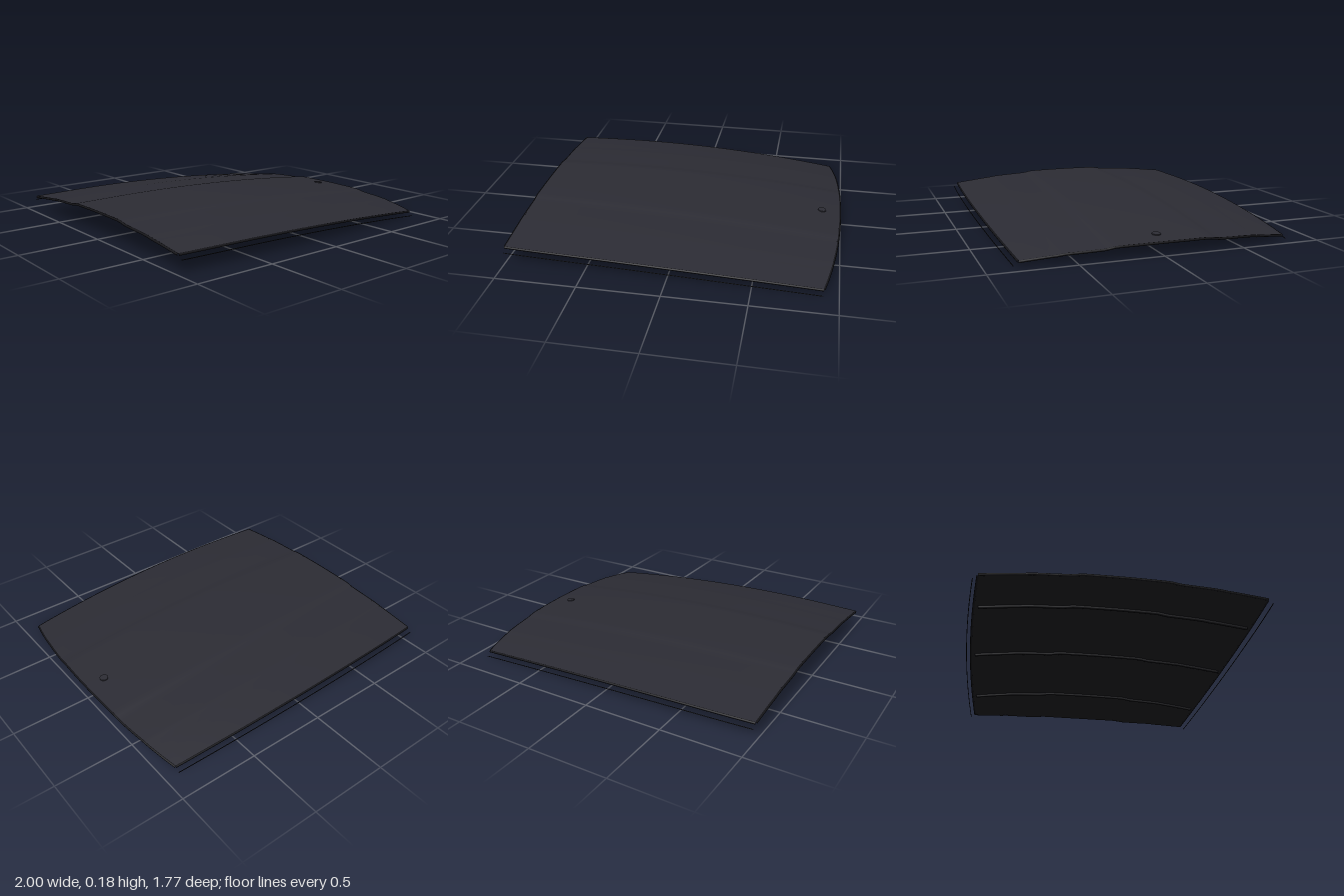
import * as THREE from 'three';

// half cross-section: [fraction of half width, drop below the crown]
const PROFILE = [[0, 0], [0.16, 0.001], [0.31, 0.003], [0.345, 0.005], [0.37, 0.009], [0.395, 0.013],
  [0.43, 0.015], [0.55, 0.02], [0.67, 0.026], [0.7, 0.029], [0.73, 0.033], [0.77, 0.036], [0.88, 0.047], [1, 0.06]];
const STATIONS = [...PROFILE.slice(1).reverse().map(([v, d]) => [-v, d]), ...PROFILE];
const THICK = 0.012;
const N = 32;

const halfWidth = x => 0.856 - 0.04 * (x + 0.15) ** 2;
const crown = x => 0.178 - 0.032 * Math.max(0, x + 0.7) ** 2;
const frontEnd = v => 0.992 - 0.08 * Math.abs(v) ** 2.2;

// point on the curved top: t runs along the length, v across the width
function surface(t, v, drop, lower = 0) {
  const x = THREE.MathUtils.lerp(-0.993, frontEnd(v), t);
  const z = v * halfWidth(x) * (1 + 0.08 * x * (1 - v * v));
  return new THREE.Vector3(x, crown(x) - drop - lower, z);
}

function sheet(lower, faceUp) {
  const pos = [], index = [], cols = STATIONS.length;
  for (let i = 0; i <= N; i++) {
    for (const [v, d] of STATIONS) pos.push(...surface(i / N, v, d, lower).toArray());
  }
  for (let i = 0; i < N; i++) {
    for (let j = 0; j < cols - 1; j++) {
      const a = i * cols + j, b = a + 1, c = a + cols, d = c + 1;
      if (faceUp) index.push(a, b, c, b, d, c);
      else index.push(a, c, b, b, c, d);
    }
  }
  const geo = new THREE.BufferGeometry();
  geo.setAttribute('position', new THREE.Float32BufferAttribute(pos, 3));
  geo.setIndex(index);
  geo.computeVertexNormals();
  return geo;
}

export function createModel() {
  const group = new THREE.Group();
  const panel = new THREE.MeshStandardMaterial({ color: 0x2c2c34 });
  const under = new THREE.MeshStandardMaterial({ color: 0x1e1e22 });
  const black = new THREE.MeshStandardMaterial({ color: 0x141418 });

  const add = (name, geo, mat) => {
    const mesh = new THREE.Mesh(geo, mat);
    mesh.name = name;
    group.add(mesh);
    return mesh;
  };
  const tube = (name, pts, r, sides = 8) =>
    add(name, new THREE.TubeGeometry(new THREE.CatmullRomCurve3(pts), 56, r, sides), black);

  // main skin
  add('roofTop', sheet(0, true), panel);
  add('roofUnderside', sheet(THICK, false), under);

  // edge trim along both ends and both sides
  const along = [...Array(17).keys()].map(i => i / 16);
  for (const [name, t] of [['rearTrim', 0], ['frontTrim', 1]]) {
    tube(name, STATIONS.map(([v, d]) => surface(t, v, d, THICK / 2)), 0.0075);
  }
  for (const s of [-1, 1]) {
    const side = s > 0 ? 'left' : 'right';
    tube(side + 'Trim', along.map(t => surface(t, s, 0.06, THICK / 2)), 0.0075);
    // thin wire running just outside the panel edge
    tube(side + 'Wire', along.map(t => surface(t, s, 0.06, 0.029).add(new THREE.Vector3(0, 0, s * 0.028))), 0.0025, 6);
  }

  // cross ribs under the panel
  for (const x of [-0.65, -0.03, 0.59]) {
    const pts = STATIONS.map(([v, d]) =>
      new THREE.Vector3(x, crown(x) - d - THICK - 0.006, v * halfWidth(x) * 0.97 * (1 + 0.08 * x * (1 - v * v))));
    tube('crossRib', pts, 0.01);
  }

  // small round badge plate near the front edge
  const disc = add('frontDisc', new THREE.CylinderGeometry(0.026, 0.026, 0.006, 32), panel);
  disc.position.set(0.875, crown(0.875) + 0.004, 0);
  disc.rotation.z = -0.09;
  return group;
}
